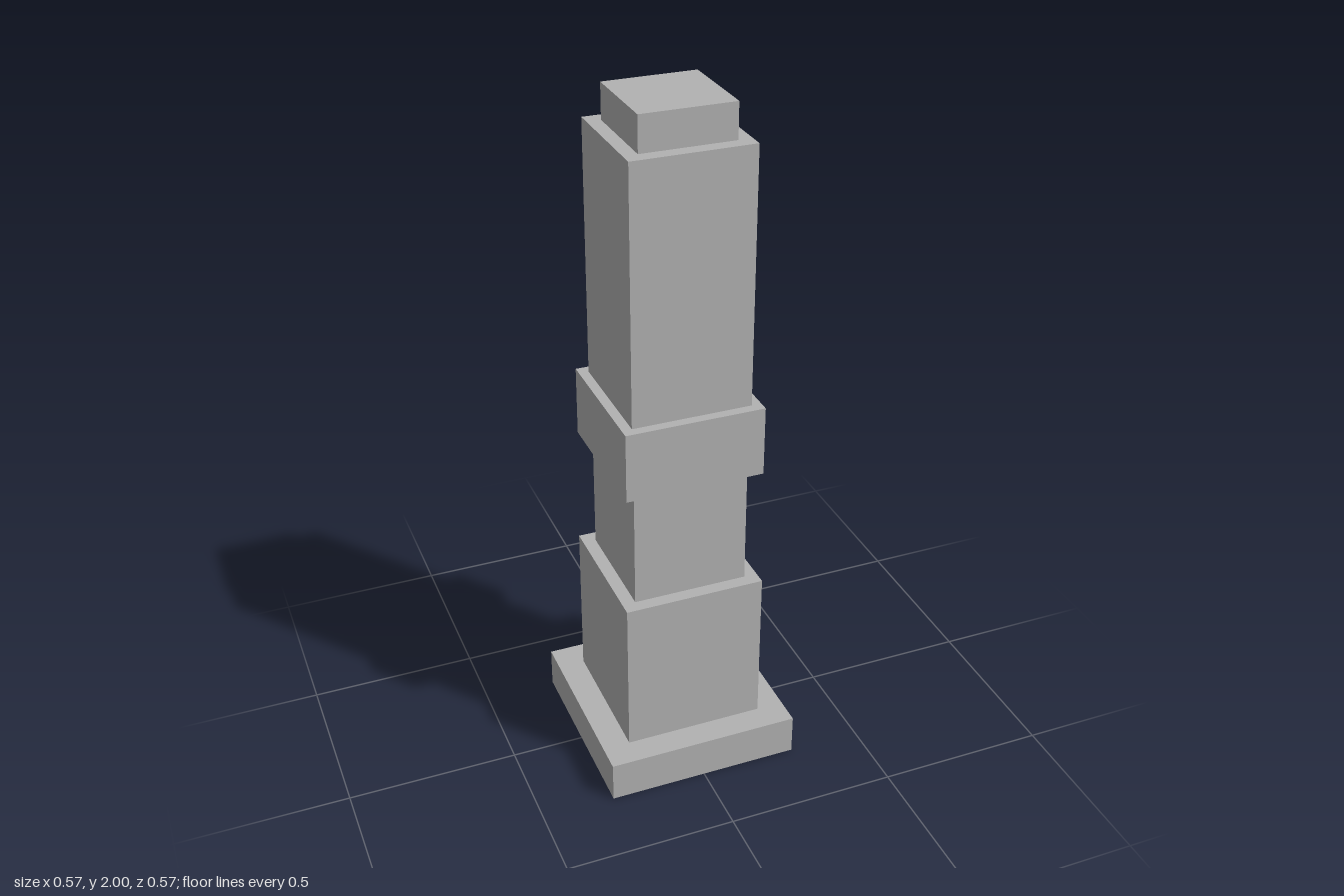
import * as THREE from 'three';

export function createModel() {
  const model = new THREE.Group();
  model.name = 'steppedTower';
  const stone = new THREE.MeshStandardMaterial({ color: 0xb2b2b2 });
  stone.name = 'grey stone';

  // Stacked square blocks: name, width, bottom, top
  const blocks = [
    ['basePlinth', 0.572, 0, 0.122],
    ['lowerBlock', 0.412, 0.122, 0.594],
    ['lowerShaft', 0.335, 0.594, 0.954],
    ['collar', 0.402, 0.954, 1.16],
    ['upperShaft', 0.345, 1.16, 1.9],
    ['cap', 0.266, 1.9, 2],
  ];
  for (const [name, width, bottom, top] of blocks) {
    const block = new THREE.Mesh(new THREE.BoxGeometry(width, top - bottom, width), stone);
    block.name = name;
    block.position.y = (bottom + top) / 2;
    model.add(block);
  }
  return model;
}
